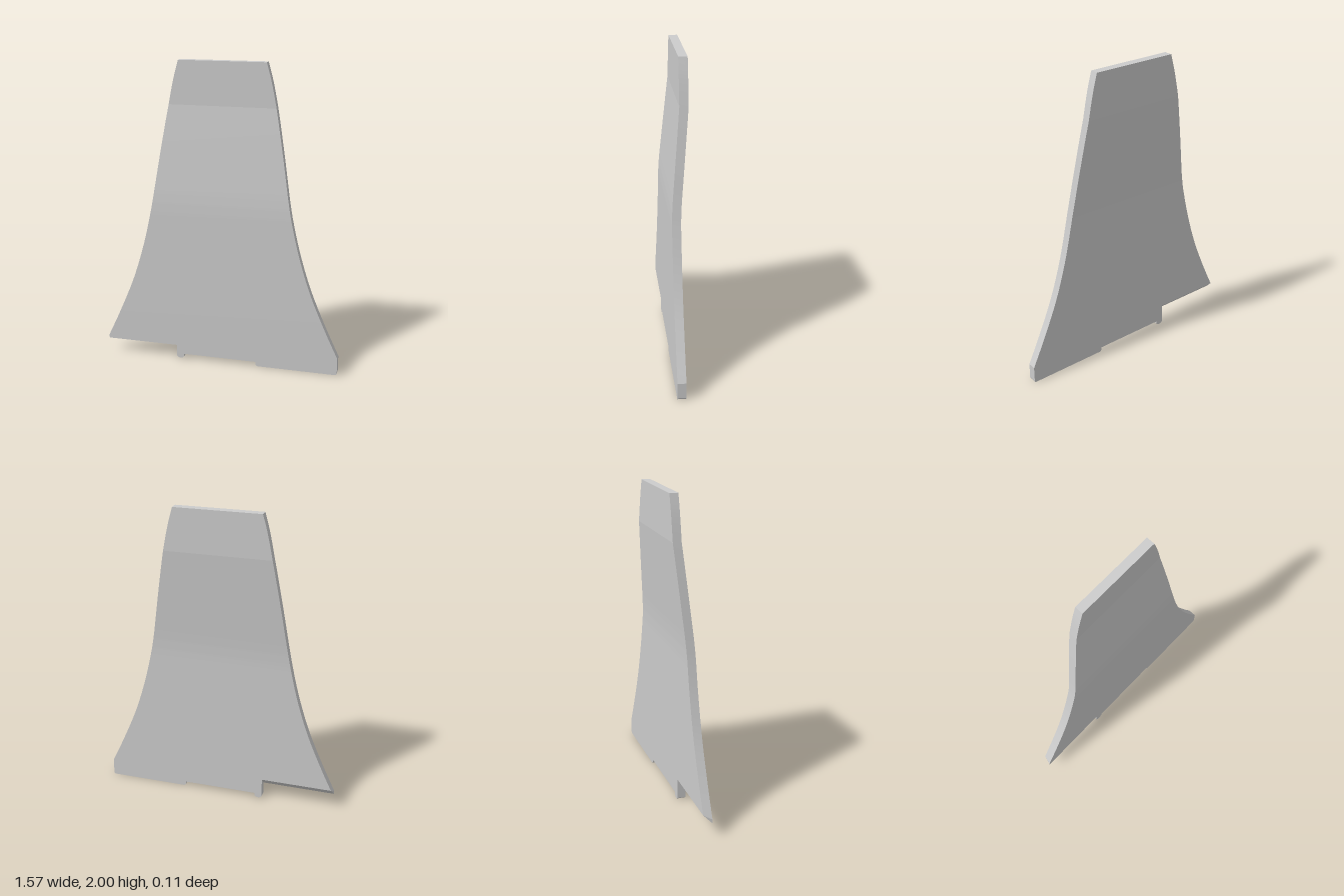
import * as THREE from 'three';
import { toCreasedNormals } from 'three/addons/utils/BufferGeometryUtils.js';

const THICK = 0.055;

// Front-surface depth by height: flat foot, gentle lean back, flat top
const BEND = [[0, 0.055], [1.02, 0.055], [1.09, 0.0525], [1.16, 0.048], [1.72, 0], [2, 0]];
function depth(y) {
  let i = 1;
  while (i < BEND.length - 1 && y > BEND[i][0]) i++;
  const [y0, z0] = BEND[i - 1], [y1, z1] = BEND[i];
  return THREE.MathUtils.mapLinear(y, y0, y1, z0, z1);
}

// Flared side edge as (half width, height); includes the bend heights
const EDGE = [
  [0.787, 0.115], [0.7, 0.3], [0.595, 0.55], [0.517, 0.8], [0.466, 1.02], [0.453, 1.09],
  [0.441, 1.16], [0.403, 1.4], [0.348, 1.72], [0.313, 1.89], [0.283, 2],
];

// Bottom edge, left to right: raised step, small tab, shallow notch, long foot
const BOTTOM = [
  [-0.787, 0.09], [-0.3, 0.09], [-0.3, 0.012], [-0.288, 0.002], [-0.28, 0], [-0.268, 0],
  [-0.258, 0.003], [-0.25, 0.012], [-0.25, 0.03], [0.245, 0.03], [0.245, 0.012],
  [0.25, 0.004], [0.26, 0], [0.775, 0], [0.784, 0.003], [0.787, 0.012],
];

const front = (p) => [p.x, p.y, depth(p.y)];

// The raised step is bevelled at 45 degrees, so its back edge sits higher
function back(p) {
  if (p.x < -0.29 && p.y > 0.05 && p.y < 0.145) {
    return [p.x < -0.5 ? -0.773 : p.x, 0.145, depth(0.145) - THICK];
  }
  return [p.x, p.y, depth(p.y) - THICK];
}

function panelGeometry() {
  const curve = new THREE.CatmullRomCurve3(EDGE.map(([x, y]) => new THREE.Vector3(x, y, 0)));
  const right = curve.getPoints((EDGE.length - 1) * 4).map((p) => new THREE.Vector2(p.x, p.y));
  const left = right.map((p) => new THREE.Vector2(-p.x, p.y));
  const bottom = BOTTOM.map(([x, y]) => new THREE.Vector2(x, y));
  const pos = [];
  const tri = (a, b, c) => pos.push(...a, ...b, ...c);

  // Front and back faces, band by band
  const face = (contour) => {
    for (const [a, b, c] of THREE.ShapeUtils.triangulateShape(contour, [])) {
      const A = contour[a], B = contour[b], C = contour[c];
      tri(front(A), front(B), front(C));
      tri(back(A), back(C), back(B));
    }
  };
  face([...bottom, right[0], right[1], left[1], left[0]]);
  for (let i = 1; i < right.length - 1; i++) {
    face([left[i], right[i], right[i + 1], left[i + 1]]);
  }

  // Edge wall around the whole outline
  const ring = [...bottom, ...right, ...left.slice().reverse()];
  ring.forEach((a, i) => {
    const b = ring[(i + 1) % ring.length];
    const a2 = back(a), b2 = back(b);
    tri(front(a), a2, front(b));
    if (a2[0] !== b2[0] || a2[1] !== b2[1]) tri(front(b), a2, b2);
  });

  const geometry = new THREE.BufferGeometry();
  geometry.setAttribute('position', new THREE.Float32BufferAttribute(pos, 3));
  return toCreasedNormals(geometry, 0.06);
}

export function createModel() {
  const group = new THREE.Group();
  group.name = 'flaredPanel';
  const panel = new THREE.Mesh(panelGeometry(), new THREE.MeshStandardMaterial({ color: 0xcccccc }));
  panel.name = 'bentPanel';
  group.add(panel);
  return group;
}
